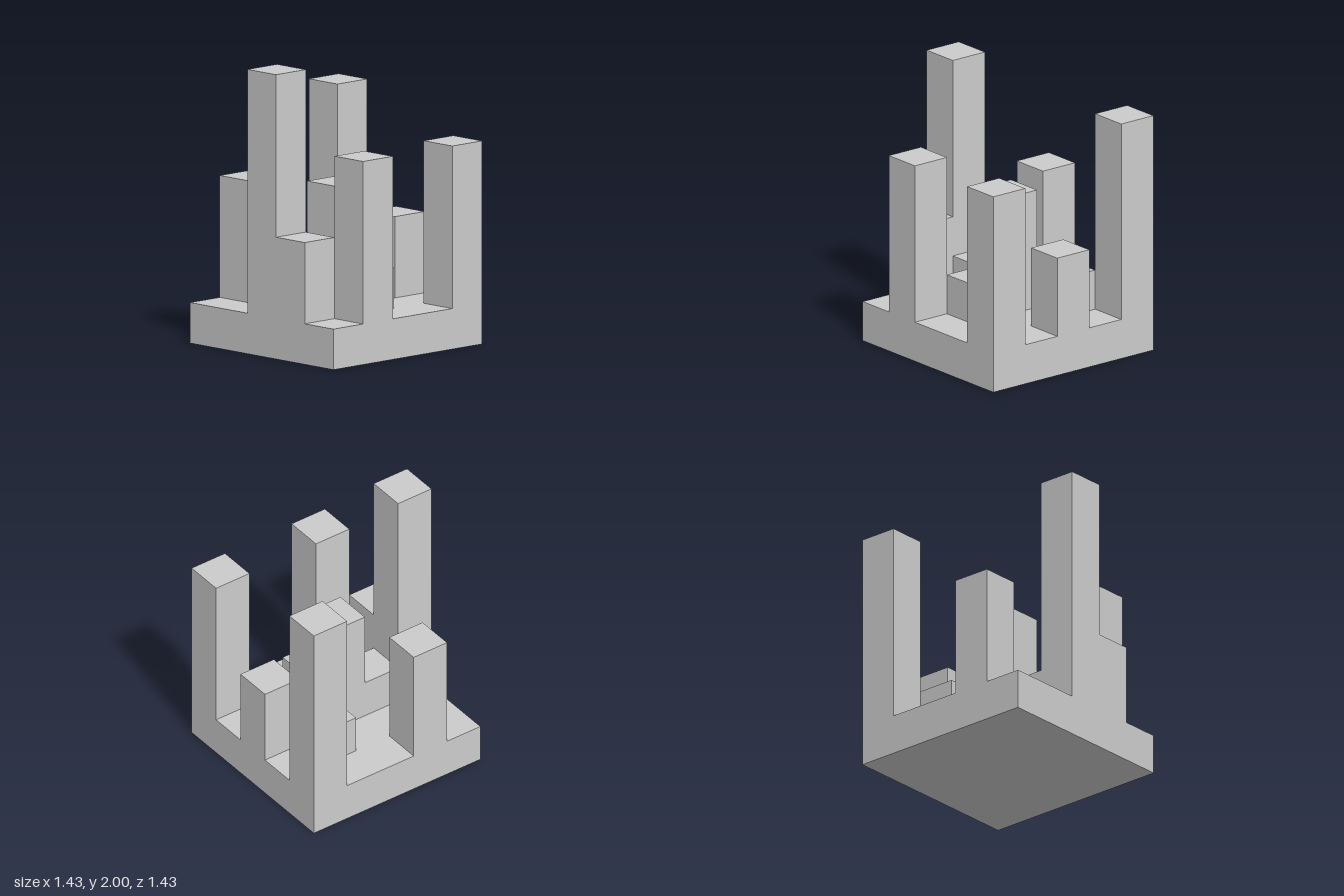
import * as THREE from 'three';

const U = 2 / 7; // side of one grid cell
// Height of each cell in units, rows from back to front, columns from -x to +x
const HEIGHTS = [
  [6, 1, 3, 1, 5],
  [1, 2, 1, 1, 1],
  [1, 1, 4, 2, 1],
  [4, 1, 2, 1, 5],
  [1, 1, 7, 3, 1],
];

export function createModel() {
  const group = new THREE.Group();
  group.name = 'towerBlock';
  const material = new THREE.MeshStandardMaterial({ color: 0xcccccc, flatShading: true });

  const addBox = (name, width, height, x, bottom, z) => {
    const mesh = new THREE.Mesh(new THREE.BoxGeometry(width, height, width), material);
    mesh.position.set(x, bottom + height / 2, z);
    mesh.name = name;
    group.add(mesh);
  };

  // Square base slab
  addBox('base', 5 * U, U, 0, 0, 0);

  // Square towers standing on the base
  HEIGHTS.forEach((row, j) => row.forEach((h, i) => {
    if (h > 1) addBox(`tower_row${j + 1}_column${i + 1}`, U, (h - 1) * U, (i - 2) * U, U, (j - 2) * U);
  }));

  return group;
}
